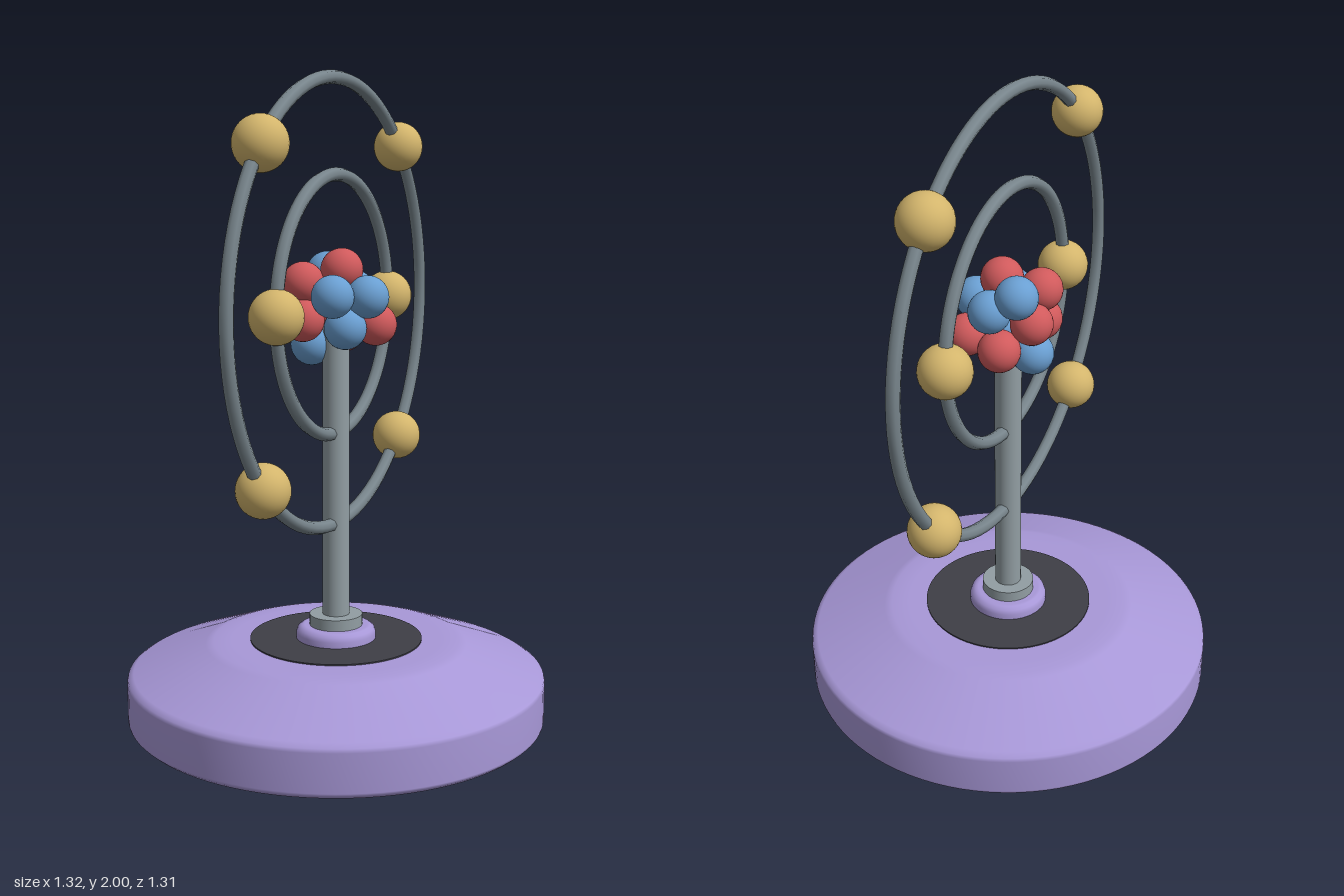
import * as THREE from 'three';

const paint = (name, color) => {
  const m = new THREE.MeshStandardMaterial({ color });
  m.name = name;
  return m;
};

export function createModel() {
  const purple = paint('lilac', 0xa898d8);
  const dark = paint('charcoal', 0x3e3e46);
  const postGrey = paint('light grey', 0x929ea3);
  const ringGrey = paint('steel grey', 0x78858c);
  const gold = paint('gold', 0xd3b56c);
  const red = paint('red', 0xd05a5c);
  const blue = paint('blue', 0x6a9fd2);

  const model = new THREE.Group();
  model.name = 'atomModel';
  const add = (name, geometry, material, x = 0, y = 0, z = 0, parent = model) => {
    const mesh = new THREE.Mesh(geometry, material);
    mesh.name = name;
    mesh.position.set(x, y, z);
    parent.add(mesh);
    return mesh;
  };
  const lathe = (points, segments = 64) =>
    new THREE.LatheGeometry(points.map(([r, y]) => new THREE.Vector2(r, y)), segments);

  // Round base with a sloping shoulder; close point pairs keep the flats flat
  add('base', lathe([
    [0, 0], [0.635, 0], [0.642, 0], [0.653, 0.01], [0.655, 0.018], [0.655, 0.135],
    [0.652, 0.147], [0.635, 0.158], [0.41, 0.241], [0.385, 0.248], [0.33, 0.25], [0, 0.25],
  ], 96), purple);
  add('baseDisc', new THREE.CylinderGeometry(0.27, 0.27, 0.008, 64), dark, 0, 0.25, 0);

  // Foot of the post
  add('lowerCollar', lathe([
    [0.125, 0.25], [0.125, 0.272], [0.12, 0.286], [0.108, 0.294], [0.098, 0.295], [0, 0.295],
  ], 48), purple);
  add('upperCollar', new THREE.CylinderGeometry(0.083, 0.083, 0.04, 40), postGrey, 0, 0.31, 0);
  add('post', new THREE.CylinderGeometry(0.042, 0.042, 0.96, 32), postGrey, 0, 0.76, 0);

  // Orbit rings with their electrons, turned together about the post
  const orbits = new THREE.Group();
  orbits.name = 'orbits';
  orbits.position.y = 1.3;
  orbits.rotation.y = THREE.MathUtils.degToRad(20);
  model.add(orbits);
  const electron = new THREE.SphereGeometry(0.08, 32, 20);
  const orbit = (name, radius, angles) => {
    add(name + 'Ring', new THREE.TorusGeometry(radius, 0.021, 8, 96), ringGrey, 0, 0, 0, orbits);
    for (const degrees of angles) {
      const a = THREE.MathUtils.degToRad(degrees);
      add(name + 'Electron', electron, gold, radius * Math.cos(a), radius * Math.sin(a), 0, orbits);
    }
  };
  orbit('outer', 0.679, [45, 135, 225, 315]);
  orbit('inner', 0.394, [0, 180]);

  // Clustered nucleus
  const nucleus = new THREE.Group();
  nucleus.name = 'nucleus';
  model.add(nucleus);
  const nucleon = new THREE.SphereGeometry(0.065, 28, 18);
  const protons = [
    [0, 1.41, 0.025], [-0.09, 1.37, -0.05], [-0.11, 1.26, -0.03],
    [0.097, 1.24, 0.075], [0.07, 1.215, -0.035], [-0.02, 1.29, -0.08],
  ];
  const neutrons = [
    [0.042, 1.395, -0.08], [-0.082, 1.335, 0.068], [0.03, 1.33, 0.105],
    [0.085, 1.34, -0.01], [-0.015, 1.235, 0.055], [-0.04, 1.18, -0.065],
  ];
  for (const p of protons) add('proton', nucleon, red, ...p, nucleus);
  for (const p of neutrons) add('neutron', nucleon, blue, ...p, nucleus);

  return model;
}
